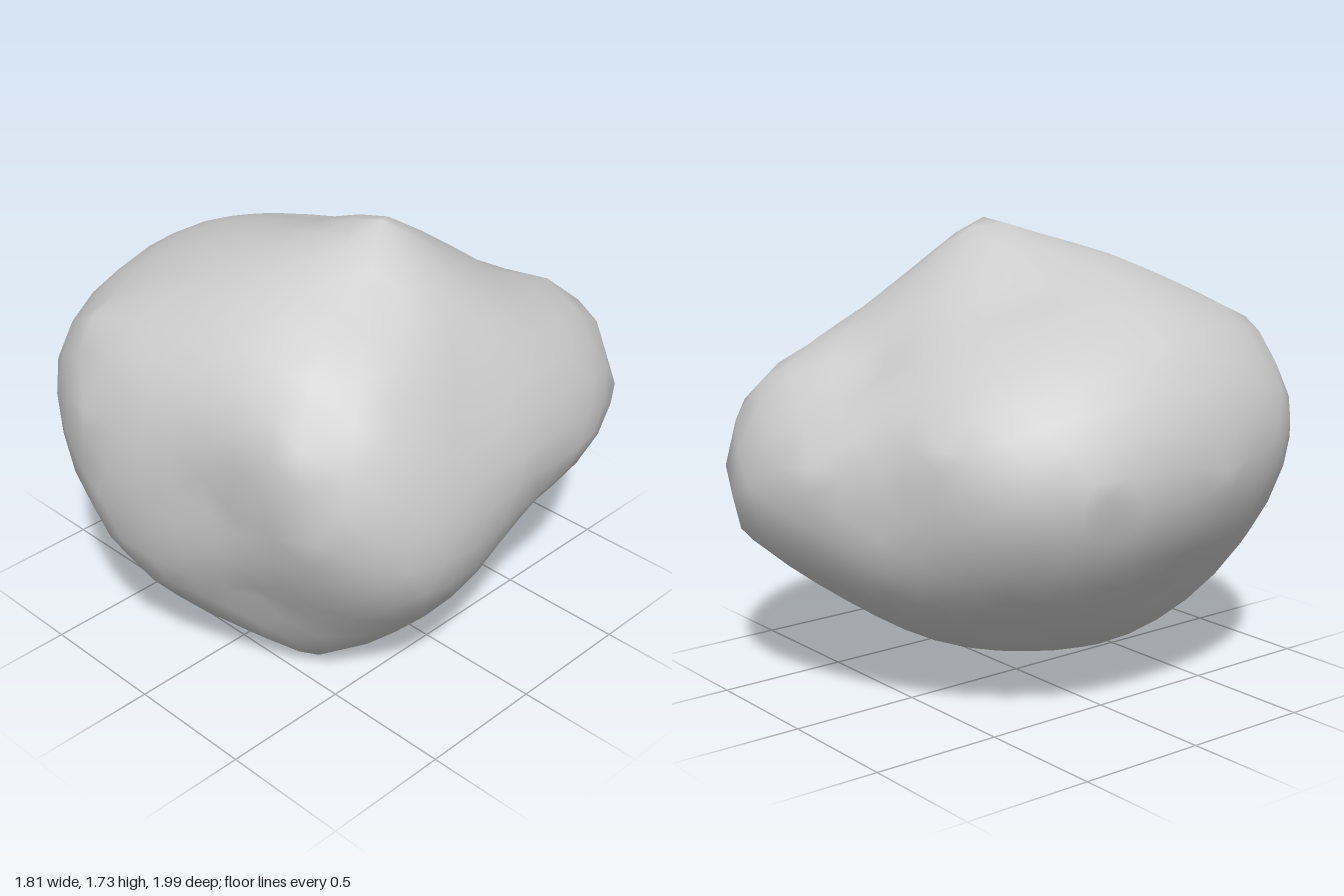
import * as THREE from 'three';
import { mergeVertices } from 'three/addons/utils/BufferGeometryUtils.js';

const CENTRE = new THREE.Vector3(0, 0.85, 0);

// Corners and bulges the rock surface passes through
const LANDMARKS = [
  // crown
  [0.31, 1.73, 0.08], [0.46, 1.62, 0.1], [0.4, 1.58, 0.3], [0, 1.63, 0.12], [-0.46, 1.5, 0.15],
  [-0.15, 1.48, 0.65], [-0.35, 1.46, 0.58], [-0.2, 1.48, -0.15],
  // saddle and hump at the back
  [0.32, 1.51, -0.27], [0.36, 1.35, -0.5], [0.4, 1.24, -0.75], [0.58, 1.09, -0.84], [0.3, 0.84, -1],
  [0.71, 0.88, -0.81], [0.5, 0.62, -0.92], [0, 0.95, -0.93], [-0.25, 0.88, -0.78], [0.1, 1.23, -0.62],
  // +x flank
  [0.89, 0.86, -0.1], [0.87, 0.62, 0.42], [0.85, 0.79, -0.45], [0.79, 1.18, 0.1], [0.65, 1.42, 0.1],
  // front
  [0.66, 0.88, 0.755], [0.57, 1.2, 0.74], [0.5, 1.39, 0.61], [0.7, 1.31, 0.44], [0.3, 0.88, 0.81], [-0.2, 0.8, 0.99],
  [-0.28, 1.1, 0.96], [-0.4, 1.36, 0.8], [-0.1, 0.52, 0.92], [0.3, 0.45, 0.69], [-0.5, 0.56, 0.75],
  // -x flank
  [-0.75, 1.03, 0.69], [-0.9, 0.93, 0.22], [-0.85, 0.9, -0.3], [-0.7, 1.36, 0.1],
  [-0.45, 1.05, -0.69], [-0.65, 0.85, -0.59], [-0.63, 0.45, 0.15],
  // underside
  [0.57, 0.28, 0.44], [0.34, 0.05, 0.42], [0.28, 0, 0.28], [0.11, 0.03, 0.42], [-0.1, 0.26, 0.73],
  [0.68, 0.52, -0.25], [0.35, 0.36, -0.56], [0, 0.1, 0], [-0.45, 0.4, -0.42],
].map(p => new THREE.Vector3(...p).sub(CENTRE));

// Gaussian elimination with pivoting; the last column holds the right side
function solve(m) {
  const n = m.length;
  for (let i = 0; i < n; i++) {
    let p = i;
    for (let r = i + 1; r < n; r++) if (Math.abs(m[r][i]) > Math.abs(m[p][i])) p = r;
    [m[i], m[p]] = [m[p], m[i]];
    for (let r = 0; r < n; r++) {
      if (r === i) continue;
      const f = m[r][i] / m[i][i];
      for (let c = i; c <= n; c++) m[r][c] -= f * m[i][c];
    }
  }
  return m.map((row, i) => row[n] / row[i]);
}

// Smooth interpolation of 1/radius over directions (flat facets stay flat)
function makeRadius(dirs, points) {
  const kernel = (a, b) => Math.sqrt(a.distanceToSquared(b) + 0.005);
  const basis = d => [...dirs.map(k => kernel(d, k)), 1, d.x, d.y, d.z];
  const rows = dirs.map((d, i) => [...basis(d), 1 / points[i].length()]);
  for (let k = 0; k < 4; k++) {
    rows.push([...dirs.map(d => [1, d.x, d.y, d.z][k]), 0, 0, 0, 0, 0]);
  }
  const w = solve(rows);
  return d => 1 / basis(d).reduce((sum, b, i) => sum + b * w[i], 0);
}

export function createModel() {
  const group = new THREE.Group();
  group.name = 'boulder';

  // Unit sphere of shared vertices
  let geometry = new THREE.IcosahedronGeometry(1, 7);
  geometry.deleteAttribute('uv');
  geometry.deleteAttribute('normal');
  geometry = mergeVertices(geometry, 1e-4);
  const pos = geometry.attributes.position;
  const verts = Array.from({ length: pos.count }, (_, i) => new THREE.Vector3().fromBufferAttribute(pos, i));

  // Slide the nearest vertex onto each landmark so corners stay crisp
  const dirs = LANDMARKS.map(p => p.clone().normalize());
  for (const d of dirs) {
    verts.reduce((a, b) => (b.distanceToSquared(d) < a.distanceToSquared(d) ? b : a)).copy(d);
  }

  // Push every vertex out to the rock's radius
  const radius = makeRadius(dirs, LANDMARKS);
  verts.forEach((v, i) => {
    v.multiplyScalar(radius(v)).add(CENTRE);
    pos.setXYZ(i, v.x, v.y, v.z);
  });

  // Stand it centred on the ground
  geometry.computeBoundingBox();
  const box = geometry.boundingBox;
  const mid = box.getCenter(new THREE.Vector3());
  geometry.translate(-mid.x, -box.min.y, -mid.z);
  geometry.computeVertexNormals();

  const rock = new THREE.Mesh(geometry, new THREE.MeshStandardMaterial({ color: 0xcccccc }));
  rock.name = 'rock';
  group.add(rock);
  return group;
}
